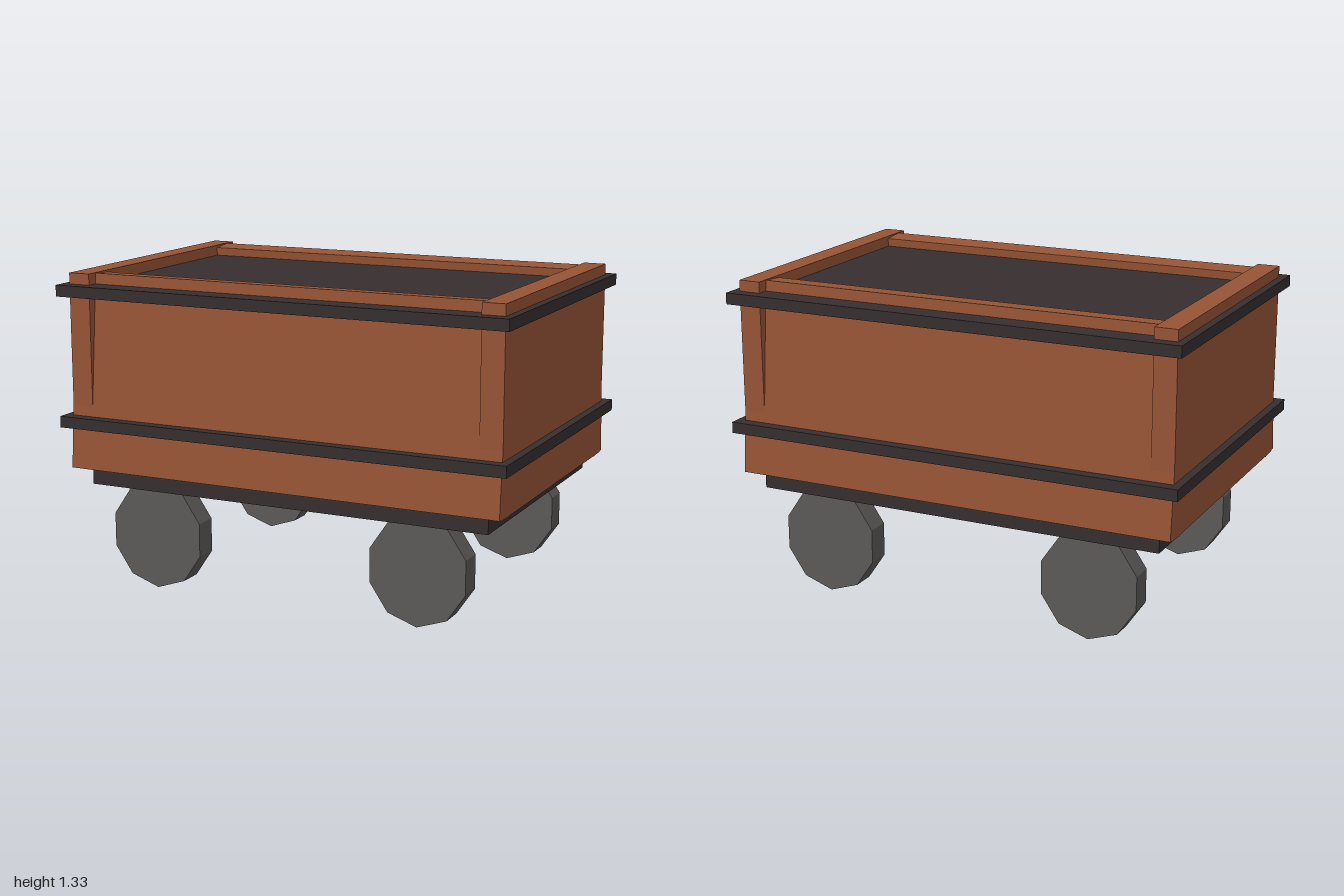
import * as THREE from 'three';

export function createModel() {
  const model = new THREE.Group();
  model.name = 'cart';

  const mat = (name, color) => {
    const m = new THREE.MeshStandardMaterial({ color });
    m.name = name;
    return m;
  };
  const wood = mat('brown wood', 0x965435);
  const iron = mat('dark iron', 0x362e2f);
  const stone = mat('grey wheel', 0x5b5a58);

  const add = (name, geometry, material, x, y, z) => {
    const mesh = new THREE.Mesh(geometry, material);
    mesh.name = name;
    mesh.position.set(x, y, z);
    model.add(mesh);
    return mesh;
  };
  // Box given by half-width, bottom, top and half-depth, centred on x and z
  const slab = (name, hx, y0, y1, hz, material, x = 0) =>
    add(name, new THREE.BoxGeometry(hx * 2, y1 - y0, hz * 2), material, x, (y0 + y1) / 2, 0);

  // Chassis and the two solid bands; the upper one closes the tub
  slab('chassis', 0.9, 0.425, 0.5, 0.582, iron);
  slab('lowerBand', 1, 0.68, 0.728, 0.667, iron);
  slab('upperBand', 1, 1.238, 1.286, 0.667, iron);

  // Upright end walls
  for (const s of [-1, 1]) {
    slab(s > 0 ? 'leftEndWall' : 'rightEndWall', 0.048, 0.497, 1.333, 0.615, wood, s * 0.918);
  }

  // Long walls leaning inward at the top, as an extruded cross-section
  const section = new THREE.Shape([
    new THREE.Vector2(0.64, 0.503),
    new THREE.Vector2(0.563, 1.331),
    new THREE.Vector2(0.461, 1.322),
    new THREE.Vector2(0.538, 0.494),
  ]);
  const wall = new THREE.ExtrudeGeometry(section, { depth: 1.932, bevelEnabled: false });
  wall.translate(0, 0, -0.966);
  wall.rotateY(-Math.PI / 2);
  for (const s of [-1, 1]) {
    const mesh = add(s > 0 ? 'frontWall' : 'backWall', wall, wood, 0, 0, 0);
    if (s < 0) mesh.rotation.y = Math.PI;
  }

  // Ten-sided wheels, a little taller than wide, one corner pointing down
  const disc = new THREE.CylinderGeometry(1, 1, 0.103, 10).toNonIndexed();
  disc.rotateX(Math.PI / 2);
  disc.scale(0.217, 0.232, 1);
  disc.computeVertexNormals();
  for (const sx of [-1, 1]) {
    for (const sz of [-1, 1]) {
      add((sz > 0 ? 'front' : 'back') + (sx > 0 ? 'Left' : 'Right') + 'Wheel',
        disc, stone, sx * 0.598, 0.232, sz * 0.515);
    }
  }

  return model;
}
